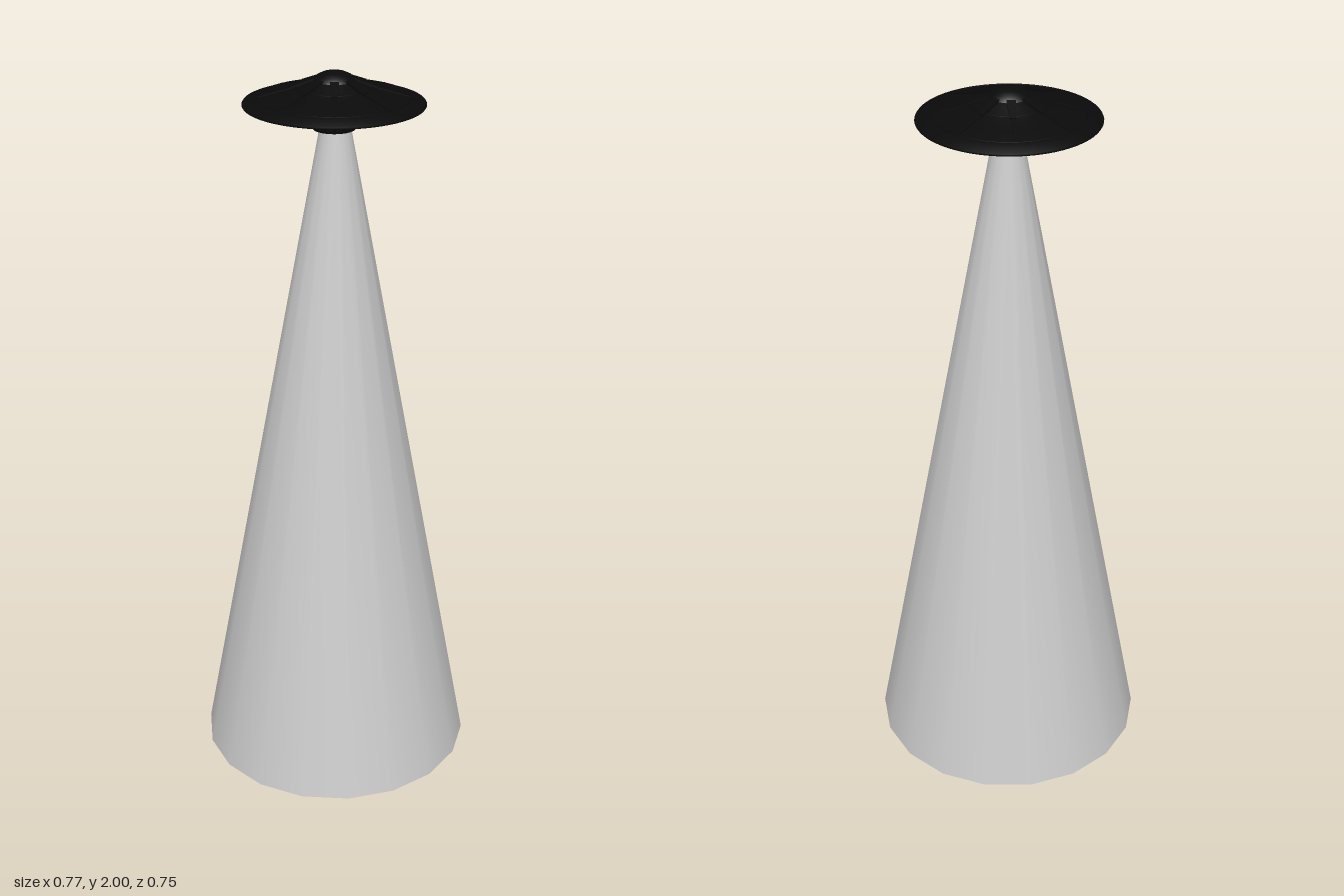
import * as THREE from 'three';

const black = new THREE.MeshStandardMaterial({ color: 0x0a0a0a, side: THREE.DoubleSide });
const dark = new THREE.MeshStandardMaterial({ color: 0x555555, side: THREE.DoubleSide });
const grey = new THREE.MeshStandardMaterial({ color: 0xcccccc, side: THREE.DoubleSide });

function add(parent, name, geometry, material) {
  const mesh = new THREE.Mesh(geometry, material);
  mesh.name = name;
  parent.add(mesh);
  return mesh;
}

function lathe(points, segments = 64) {
  return new THREE.LatheGeometry(points.map(([r, y]) => new THREE.Vector2(r, y)), segments);
}

// Thin tapered plate lying along a radius, from (r0, y0) to (r1, y1), with widths w0 and w1
function plate(r0, y0, r1, y1, w0, w1, thick) {
  const length = Math.hypot(r1 - r0, y1 - y0);
  const shape = new THREE.Shape();
  shape.moveTo(0, -w0 / 2);
  shape.lineTo(length, -w1 / 2);
  shape.lineTo(length, w1 / 2);
  shape.lineTo(0, w0 / 2);
  shape.closePath();
  return new THREE.ExtrudeGeometry(shape, { depth: thick, bevelEnabled: false })
    .translate(0, 0, -thick / 2)
    .rotateX(Math.PI / 2)
    .rotateZ(Math.atan2(y1 - y0, r1 - r0))
    .translate(r0, y0, 0);
}

function radial(parent, name, count, geometry, material, offset = 0) {
  for (let i = 0; i < count; i++) {
    add(parent, name, geometry, material).rotation.y = ((i + offset) / count) * Math.PI * 2;
  }
}

function ring(parent, name, r, y, tube, material) {
  add(parent, name, new THREE.TorusGeometry(r, tube, 6, 64).rotateX(Math.PI / 2), material).position.y = y;
}

export function createModel() {
  const model = new THREE.Group();
  model.name = 'saucerWithBeam';

  // Open light beam
  add(model, 'beam', new THREE.CylinderGeometry(0.04, 0.383, 1.86, 18, 1, true, Math.PI / 2), grey)
    .position.y = 0.93;

  const saucer = new THREE.Group();
  saucer.name = 'saucer';
  saucer.position.x = -0.004;
  model.add(saucer);

  // Upper hull and dome
  add(saucer, 'upperHull', lathe([
    [0.235, 1.913], [0.235, 1.919], [0.2, 1.931], [0.15, 1.944], [0.115, 1.954],
    [0.09, 1.963], [0.07, 1.972], [0.05, 1.98],
  ]), black);
  add(saucer, 'dome', lathe([
    [0.06, 1.972], [0.055, 1.98], [0.045, 1.989], [0.03, 1.996], [0.015, 1.9992], [0, 2],
  ], 32), black);
  ring(saucer, 'outerSeam', 0.197, 1.932, 0.0015, black);
  ring(saucer, 'innerSeam', 0.1, 1.959, 0.002, black);

  // Stepped ribs on the upper hull
  radial(saucer, 'rib', 8, plate(0.05, 1.98, 0.11, 1.957, 0.024, 0.016, 0.008), black);
  radial(saucer, 'ribTip', 8, plate(0.1, 1.959, 0.195, 1.932, 0.012, 0.004, 0.005), black);

  // Underside with light panels and rim ticks
  const underY = (r) => 1.885 + (r - 0.07) * 0.17;
  add(saucer, 'underside', lathe([[0.06, underY(0.06)], [0.235, underY(0.235)]]), dark);
  const under = (r0, r1, w0, w1, thick) => plate(r0, underY(r0), r1, underY(r1), w0, w1, thick);
  radial(saucer, 'lightPanel', 16, under(0.075, 0.155, 0.02, 0.003, 0.003), grey, 0.5);
  radial(saucer, 'underRib', 16, under(0.07, 0.2, 0.004, 0.004, 0.004), black);
  radial(saucer, 'rimTick', 48, under(0.207, 0.228, 0.005, 0.005, 0.003), grey);
  ring(saucer, 'underSeam', 0.202, underY(0.202), 0.0018, black);
  ring(saucer, 'rim', 0.235, 1.916, 0.0035, black);

  // Dark emitter collar
  add(saucer, 'collar', lathe([
    [0.036, 1.85], [0.055, 1.85], [0.058, 1.858], [0.056, 1.862],
    [0.065, 1.872], [0.075, 1.877], [0.075, 1.886], [0.06, 1.89],
  ], 32), black);
  radial(saucer, 'collarFin', 16, plate(0.056, 1.856, 0.077, 1.88, 0.005, 0.005, 0.005), black);

  return model;
}
